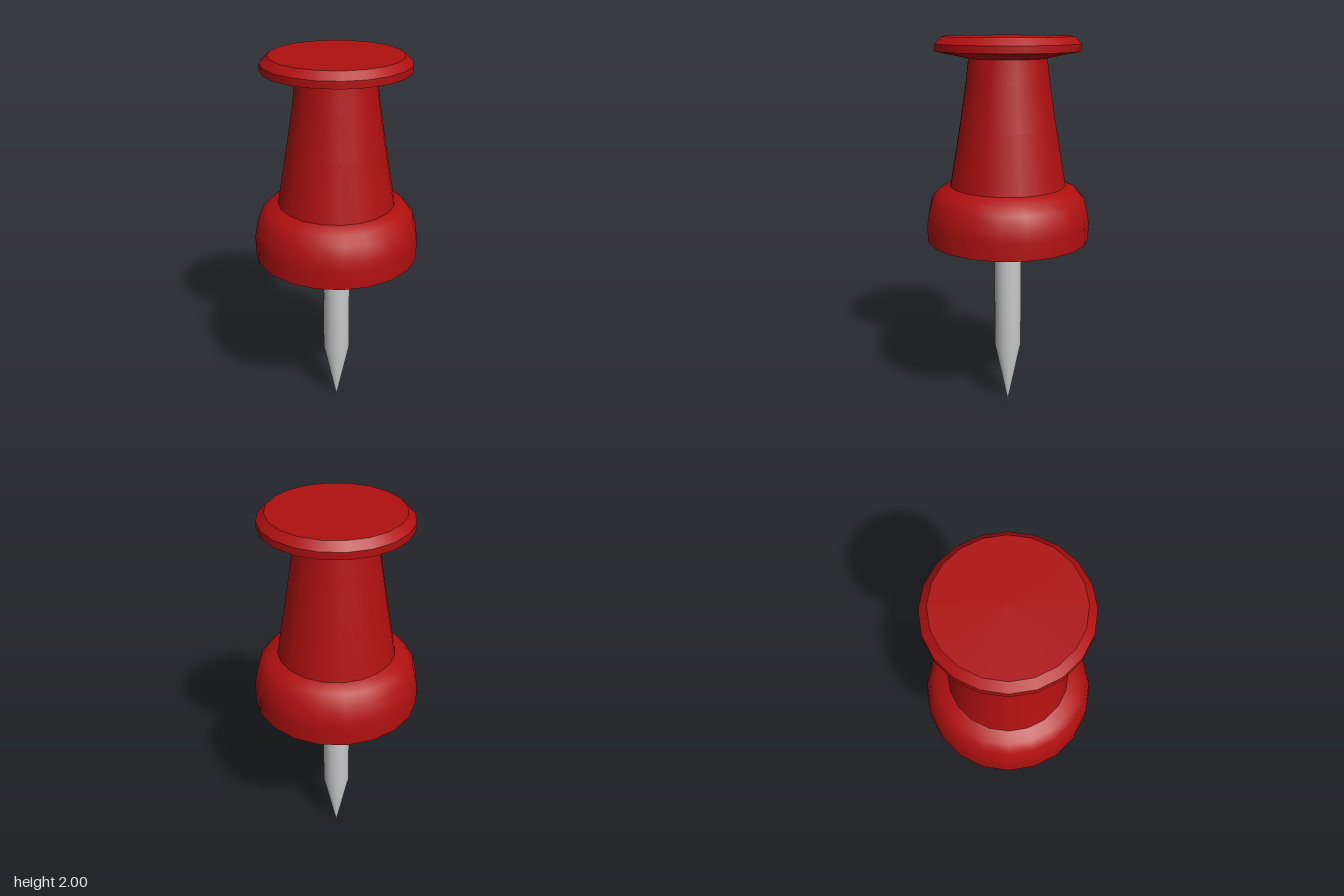
import * as THREE from 'three';

const SIDES = 20;

// Smooth surface of revolution; profile points run [radius, height] from bottom to top
function turned(name, profile, material) {
  const points = profile.map(([r, y]) => new THREE.Vector2(r, y));
  const mesh = new THREE.Mesh(new THREE.LatheGeometry(points, SIDES), material);
  mesh.name = name;
  return mesh;
}

export function createModel() {
  const model = new THREE.Group();
  model.name = 'pushPin';
  const red = new THREE.MeshStandardMaterial({ color: 0xb01010 });
  const grey = new THREE.MeshStandardMaterial({ color: 0xcccccc });

  // Needle with sharpened point
  model.add(turned('needle', [[0, 0], [0.072, 0.35], [0.072, 0.97]], grey));

  // Handle: each section is its own surface so the rims between them stay sharp
  const handle = new THREE.Group();
  handle.name = 'handle';
  const sections = {
    collarUnderside: [[0, 0.97], [0.425, 0.97]],
    collar: [[0.425, 0.97], [0.425, 1.06], [0.418, 1.11], [0.398, 1.185], [0.36, 1.23], [0.3, 1.255]],
    grip: [[0.3, 1.255], [0.248, 1.55], [0.213, 1.77], [0.198, 1.895]],
    headUnderside: [[0.198, 1.895], [0.365, 1.93]],
    headRim: [[0.365, 1.93], [0.365, 1.965]],
    headBevel: [[0.365, 1.965], [0.327, 2]],
    headTop: [[0.327, 2], [0, 2]],
  };
  for (const [name, profile] of Object.entries(sections)) handle.add(turned(name, profile, red));
  model.add(handle);

  return model;
}
